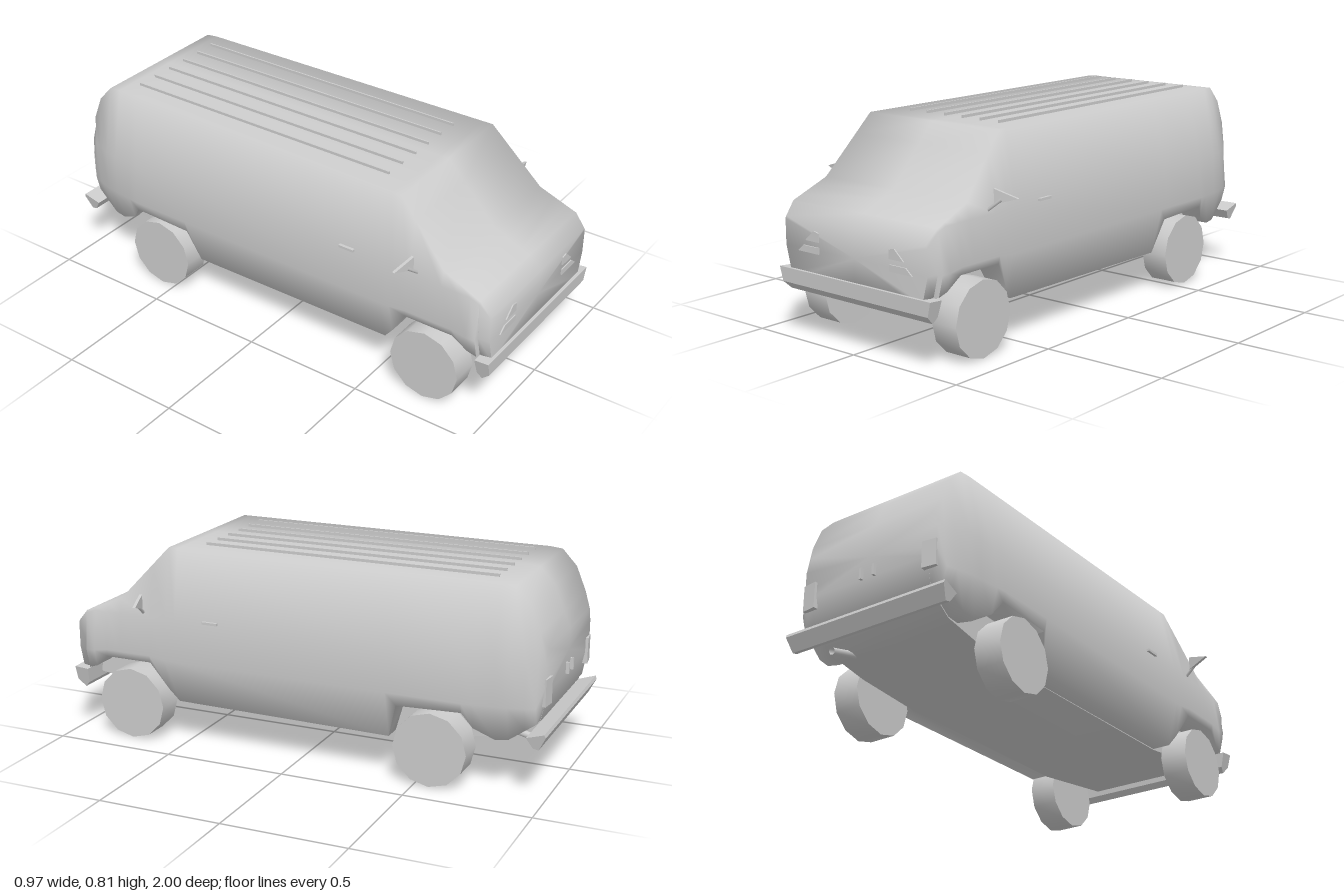
import * as THREE from 'three';
import { toCreasedNormals } from 'three/addons/utils/BufferGeometryUtils.js';

const grey = new THREE.MeshStandardMaterial({ color: 0xcccccc });
const thin = new THREE.MeshStandardMaterial({ color: 0xcccccc, side: THREE.DoubleSide });

// Body outlines as [z, value], front to back
const roofLine = [[0.985, 0.46], [0.94, 0.51], [0.78, 0.575], [0.57, 0.8], [-0.8, 0.8], [-0.85, 0.795], [-0.91, 0.73], [-0.975, 0.57]];
const roofHalf = [[0.985, 0.355], [0.94, 0.364], [0.78, 0.357], [0.57, 0.325], [-0.85, 0.31], [-0.95, 0.312], [-0.975, 0.29]];
const beltHalf = [[0.985, 0.36], [0.94, 0.37], [-0.68, 0.373], [-0.85, 0.364], [-0.975, 0.31]];
const flankHalf = [[0.985, 0.36], [0.94, 0.366], [0.938, 0.388], [0.78, 0.39], [-0.68, 0.39], [-0.85, 0.37], [-0.95, 0.338], [-0.975, 0.31]];
const floorLine = [[0.985, 0.25], [0.94, 0.22], [0.53, 0.166], [-0.38, 0.158], [-0.68, 0.18], [-0.85, 0.21], [-0.95, 0.28], [-0.975, 0.4]];
// Sill rises over both wheel arches
const sillLine = [
  [0.985, 0.25], [0.9, 0.28], [0.84, 0.33], [0.64, 0.33], [0.57, 0.22], [0.53, 0.17], [-0.38, 0.16],
  [-0.42, 0.3], [-0.68, 0.31], [-0.72, 0.25], [-0.8, 0.21], [-0.85, 0.215], [-0.95, 0.285], [-0.975, 0.4],
];

// Value of an outline at z
function at(line, z) {
  const i = Math.max(1, line.findIndex((p) => p[0] <= z));
  const [z0, v0] = line[i - 1], [z1, v1] = line[i];
  return THREE.MathUtils.mapLinear(z, z0, z1, v0, v1);
}

// Closed ring, clockwise seen from the front
function ring(z) {
  const top = at(roofLine, z), flankX = at(flankHalf, z), sill = at(sillLine, z);
  const floor = Math.min(at(floorLine, z), sill);
  const flankY = Math.max(0.35, sill + 0.03);
  const half = [
    [0, top], [at(roofHalf, z), top], [at(beltHalf, z), Math.min(0.515, top - 0.01)], [flankX, flankY],
    [flankX - (flankY - sill) * 0.25, sill], [0.27, sill], [0.27, floor], [0, floor],
  ];
  const mirrored = half.slice(1, -1).reverse().map(([x, y]) => [-x, y]);
  return [...half, ...mirrored].map(([x, y]) => [x, y, z]);
}

function bodyShell() {
  const outlines = [roofLine, roofHalf, beltHalf, flankHalf, floorLine, sillLine];
  const stations = [...new Set(outlines.flat().map((p) => p[0]))].sort((a, b) => b - a);
  const rings = stations.map(ring);
  const n = rings[0].length, last = rings.length - 1;
  const verts = rings.flat(), index = [];
  for (let k = 0; k < last; k++) {
    for (let i = 0; i < n; i++) {
      const a = k * n + i, b = k * n + (i + 1) % n;
      index.push(a, b, b + n, a, b + n, a + n);
    }
  }
  // Nose and tail caps
  for (const k of [0, last]) {
    const r = rings[k], c = verts.length;
    verts.push([0, (r[0][1] + r[7][1]) / 2, r[0][2]]);
    for (let i = 0; i < n; i++) {
      const a = k * n + i, b = k * n + (i + 1) % n;
      if (k === 0) index.push(c, b, a);
      else index.push(c, a, b);
    }
  }
  const g = new THREE.BufferGeometry();
  g.setAttribute('position', new THREE.Float32BufferAttribute(verts.flat(), 3));
  g.setIndex(index);
  return toCreasedNormals(g, 1.48);
}

function plate(points, depth) {
  const shape = new THREE.Shape(points.map(([x, y]) => new THREE.Vector2(x, y)));
  return new THREE.ExtrudeGeometry(shape, { depth, bevelEnabled: false });
}

// Bar across the car: profile of [z, y], ends narrowing towards the bottom
function bumper(profile, topX, bottomX) {
  const g = plate(profile.map(([z, y]) => [-z, y]), 2);
  g.translate(0, 0, -1).rotateY(Math.PI / 2);
  const ys = profile.map((p) => p[1]);
  const lo = Math.min(...ys), hi = Math.max(...ys), p = g.attributes.position;
  for (let i = 0; i < p.count; i++) {
    p.setX(i, p.getX(i) * THREE.MathUtils.mapLinear(p.getY(i), lo, hi, bottomX, topX));
  }
  g.computeVertexNormals();
  return g;
}

function rod(from, to, radius, sides) {
  const path = new THREE.LineCurve3(new THREE.Vector3(...from), new THREE.Vector3(...to));
  return new THREE.TubeGeometry(path, 1, radius, sides, false);
}

export function createModel() {
  const model = new THREE.Group();
  const add = (name, geometry, x = 0, y = 0, z = 0, material = grey) => {
    const mesh = new THREE.Mesh(geometry, material);
    mesh.name = name;
    mesh.position.set(x, y, z);
    model.add(mesh);
    return mesh;
  };

  add('body', bodyShell());

  // Bumpers and exhaust
  add('frontBumper', bumper([[0.94, 0.262], [0.945, 0.2], [0.965, 0.178], [0.998, 0.21], [1, 0.267]], 0.384, 0.362));
  add('rearBumper', bumper([[-0.925, 0.245], [-0.95, 0.205], [-0.972, 0.2], [-1, 0.255], [-0.995, 0.268]], 0.37, 0.355));
  add('exhaust', rod([0.2, 0.215, -0.8], [0.2, 0.182, -0.93], 0.014, 8), 0, 0, 0, thin);

  // Roof rails
  for (const x of [-0.225, -0.135, -0.045, 0.045, 0.135, 0.225]) {
    add('roofRail', new THREE.BoxGeometry(0.006, 0.018, 1.215), x, 0.802, -0.155);
  }

  for (const side of [1, -1]) {
    const label = side > 0 ? 'left' : 'right';

    // Wheels
    for (const [end, z] of [['Front', 0.73], ['Rear', -0.56]]) {
      const wheel = new THREE.CylinderGeometry(0.147, 0.147, 0.114, 12).rotateZ(Math.PI / 2);
      add(`${label}${end}Wheel`, toCreasedNormals(wheel, 0.8), side * 0.332, 0.146, z);
    }

    // Headlight segments
    const lower = [[0.18, 0.34], [0.29, 0.34], [0.26, 0.365], [0.18, 0.365]];
    const upper = [[0.18, 0.385], [0.25, 0.385], [0.205, 0.425], [0.18, 0.42]];
    for (const points of [lower, upper]) {
      add(`${label}Headlight`, plate(points.map(([x, y]) => [side * x, y]), 0.012), 0, 0, 0.978);
    }

    // Tail lights and rear door handles
    const lamp = add(`${label}TailLight`, new THREE.BoxGeometry(0.06, 0.105, 0.04), side * 0.28, 0.405, -0.962);
    lamp.rotation.y = side * -0.12;
    add(`${label}RearHandle`, new THREE.BoxGeometry(0.01, 0.045, 0.02), side * 0.03, 0.42, -0.978);

    // Side door handle
    add(`${label}DoorHandle`, new THREE.BoxGeometry(0.016, 0.01, 0.065), side * 0.373, 0.523, 0.368);

    // Wing mirror on its arm
    add(`${label}MirrorArm`, rod([side * 0.355, 0.525, 0.675], [side * 0.42, 0.575, 0.665], 0.007, 5), 0, 0, 0, thin);
    const mirror = add(`${label}Mirror`, plate([[0, 0.612], [0, 0.555], [side * 0.095, 0.583]], 0.012), side * 0.388, 0, 0.662);
    mirror.rotation.y = side * 0.25;
  }
  return model;
}
